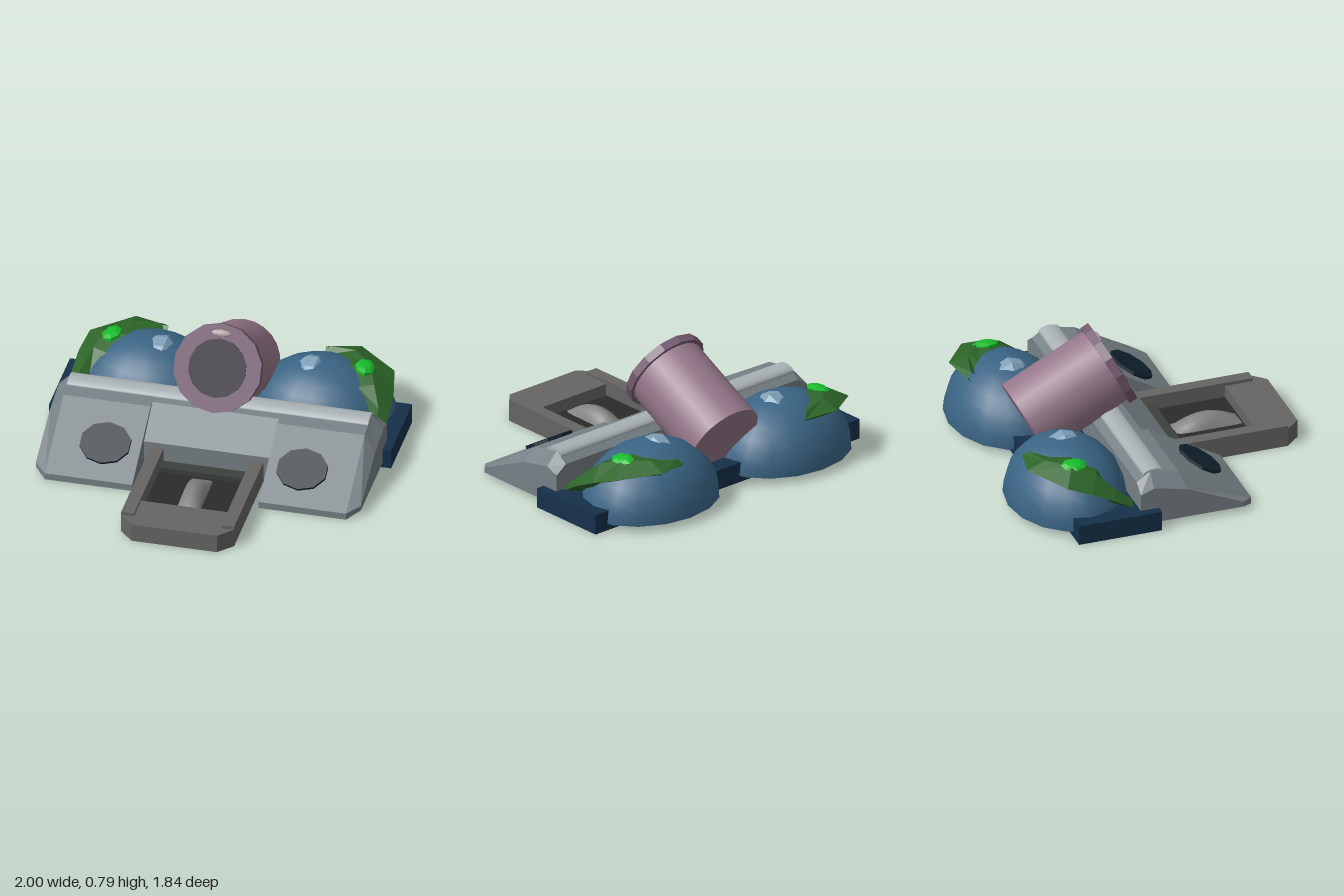
import * as THREE from 'three';

const mat = (color, flat = true, double = false) => new THREE.MeshStandardMaterial({
  color, flatShading: flat, side: double ? THREE.DoubleSide : THREE.FrontSide });

export function createModel() {
  const model = new THREE.Group();

  const add = (name, geometry, material, pos = [0, 0, 0], parent = model) => {
    const mesh = new THREE.Mesh(geometry, material);
    mesh.name = name;
    mesh.position.set(...pos);
    parent.add(mesh);
    return mesh;
  };
  // Box given by its min and max corners
  const box = (name, a, b, material) => add(name,
    new THREE.BoxGeometry(b[0] - a[0], b[1] - a[1], b[2] - a[2]), material,
    a.map((v, i) => (v + b[i]) / 2));

  // Surface through rows of points; closed rows also get end caps
  const skin = (rows, closed) => {
    const n = rows[0].length, pos = rows.flat(2), index = [];
    for (let r = 0; r < rows.length - 1; r++) {
      for (let j = 0; j < (closed ? n : n - 1); j++) {
        const a = r * n + j, b = r * n + (j + 1) % n;
        index.push(a, b, a + n, b, b + n, a + n);
      }
    }
    if (closed) {
      const last = (rows.length - 1) * n;
      for (let j = 1; j < n - 1; j++) {
        index.push(0, j + 1, j, last, last + j, last + j + 1);
      }
    }
    const g = new THREE.BufferGeometry();
    g.setAttribute('position', new THREE.Float32BufferAttribute(pos, 3));
    g.setIndex(index);
    g.computeVertexNormals();
    return g;
  };
  const section = (x, zy) => zy.map(([z, y]) => [x, y, z]);

  const hull = mat(0x768085, true, true), navy = mat(0x15304a), dark = mat(0x10222e);
  const blue = mat(0x3a6484, false), paleBlue = mat(0x7ea0b8), leaf = mat(0x2d6529, true, true);
  const bright = mat(0x18bc2c), pink = mat(0x957789, false), rimPink = mat(0x745a70);
  const trayGrey = mat(0x666564), trayDark = mat(0x2b2b2b);

  // Rear plinth
  box('rearPlinth', [-1, 0, -0.67], [1, 0.12, -0.17], navy);

  // Sloping front body: centre section and two chamfered wings
  const full = [[0.41, 0], [0.41, 0.04], [-0.03, 0.295], [-0.2, 0.325], [-0.28, 0.27], [-0.28, 0]];
  const inset = [[0.34, 0.03], [0.34, 0.06], [0, 0.21], [-0.2, 0.25], [-0.28, 0.22], [-0.28, 0.03]];
  const mid = [[0.13, 0], [0.13, 0.16], [-0.07, 0.3], [-0.2, 0.325], [-0.28, 0.27], [-0.28, 0]];
  add('centreBody', skin([section(-0.37, mid), section(0.37, mid)], true), hull);
  for (const s of [-1, 1]) {
    const rows = [section(0.37 * s, full), section(0.88 * s, full), section(0.95 * s, inset)];
    add('wing', skin(s > 0 ? rows : rows.reverse(), true), hull);

    // Dark ten-sided port lying on the slope
    const port = add('port', new THREE.CylinderGeometry(0.15, 0.15, 0.02, 10), dark, [0.575 * s, 0.165, 0.21]);
    port.rotation.x = Math.atan2(0.255, 0.44);
    port.scale.z = 0.88;
  }

  // Rounded bar along the top edge
  const bar = add('topBar', new THREE.CylinderGeometry(0.065, 0.065, 1.76, 16), mat(0xa9b1b5, false), [0, 0.305, -0.175]);
  bar.rotation.z = Math.PI / 2;
  bar.scale.x = 0.5;

  // Front tray
  const plate = new THREE.Shape([[-0.33, 0.66], [0.33, 0.66], [0.33, 0.83], [0.25, 0.915], [-0.25, 0.915], [-0.33, 0.83]]
    .map(([x, z]) => new THREE.Vector2(x, -z)));
  const plateGeo = new THREE.ExtrudeGeometry(plate, { depth: 0.11, bevelEnabled: false });
  plateGeo.rotateX(-Math.PI / 2);
  add('trayFront', plateGeo, trayGrey);
  for (const s of [-1, 1]) {
    box('trayRail', [s > 0 ? 0.255 : -0.33, 0, 0.13], [s > 0 ? 0.33 : -0.255, 0.13, 0.83], trayGrey);
  }
  box('trayCrossBar', [-0.255, 0, 0.165], [0.255, 0.07, 0.24], mat(0x3c403c));
  box('trayFloor', [-0.255, 0.02, 0.24], [0.255, 0.04, 0.66], trayDark);

  // Arched rocker in the tray
  const arch = [];
  for (let i = 0; i <= 12; i++) {
    const t = i / 12, h = 0.085 * Math.sin(Math.PI * t);
    arch.push([-0.07, -0.05, 0, 0.05, 0.07].map((x, j) =>
      [x, 0.035 + h * [0, 0.75, 1, 0.75, 0][j], 0.25 + 0.41 * t]));
  }
  add('rocker', skin(arch, false), mat(0x858482, false, true));

  // Domes with leaf, bright bud and pale crest
  for (const s of [-1, 1]) {
    const side = new THREE.Group();
    side.name = s > 0 ? 'leftDome' : 'rightDome';
    model.add(side);
    const dome = add('dome', new THREE.SphereGeometry(1, 16, 8, 0, Math.PI * 2, 0, Math.PI / 2), blue,
      [0.5 * s, 0.04, -0.57], side);
    dome.scale.set(0.435, 0.36, 0.35);
    const base = add('domeBase', new THREE.CircleGeometry(1, 16), blue, [0.5 * s, 0.04, -0.57], side);
    base.rotation.x = Math.PI / 2;
    base.scale.set(0.435, 0.35, 1);

    // Leaf rows: inner edge, ridge, outer edge, tucked underside
    const rows = [
      [[0.84, 0.12, -0.31], [0.82, 0.18, -0.39], [0.73, 0.32, -0.47], [0.65, 0.375, -0.6], [0.58, 0.36, -0.71], [0.47, 0.32, -0.75]],
      [[0.88, 0.17, -0.31], [0.87, 0.24, -0.4], [0.82, 0.33, -0.5], [0.77, 0.38, -0.63], [0.65, 0.38, -0.75], [0.49, 0.36, -0.79]],
      [[0.92, 0.13, -0.31], [0.93, 0.2, -0.43], [0.92, 0.26, -0.56], [0.89, 0.31, -0.7], [0.66, 0.34, -0.86], [0.46, 0.33, -0.82]],
      [[0.83, 0.1, -0.33], [0.82, 0.14, -0.44], [0.78, 0.22, -0.55], [0.72, 0.26, -0.66], [0.6, 0.27, -0.75], [0.46, 0.28, -0.76]],
    ].map(row => row.map(([x, y, z]) => [x * s, y, z]));
    add('leaf', skin(s > 0 ? rows : rows.reverse(), false), leaf, [0, 0, 0], side);

    const bud = add('bud', new THREE.SphereGeometry(1, 7, 5), bright, [0.74 * s, 0.366, -0.61], side);
    bud.scale.set(0.06, 0.026, 0.08);
    bud.rotation.z = -0.2 * s;

    // Crest: faceted lozenge, pointed toward the front
    const crest = [[-0.77, 0.3], [-0.74, 0.65], [-0.57, 1], [-0.5, 0.8], [-0.42, 0.04]].map(([z, w]) =>
      [[-0.08, 0], [-0.035, 0.045], [0.035, 0.045], [0.08, 0], [0, -0.06]].map(([x, y]) =>
        [0.44 * s + x * w, 0.372 - 2.2 * (z + 0.57) ** 2 + y * w, z]));
    add('crest', skin(crest, true), mat(0x7ea0b8, true, true), [0, 0, 0], side);
  }

  // Tilted barrel, built along +y and turned to face forward and up
  const barrel = new THREE.Group();
  barrel.name = 'barrel';
  barrel.position.set(0, 0.56, -0.11);
  barrel.rotation.x = Math.atan2(0.887, 0.463);
  model.add(barrel);
  const side = new THREE.CylinderGeometry(0.232, 0.235, 0.56, 24);
  add('barrelBody', side, pink, [0, -0.32, 0], barrel);
  add('barrelRim', new THREE.CylinderGeometry(0.258, 0.258, 0.05, 14), rimPink, [0, -0.025, 0], barrel);
  add('barrelMouth', new THREE.CylinderGeometry(0.17, 0.17, 0.01, 14), mat(0x241c30), [0, 0, 0], barrel);
  const stud = add('rimStud', new THREE.SphereGeometry(1, 8, 6), mat(0xb79fa8), [0, 0, -0.2], barrel);
  stud.scale.set(0.06, 0.015, 0.022);

  return model;
}
